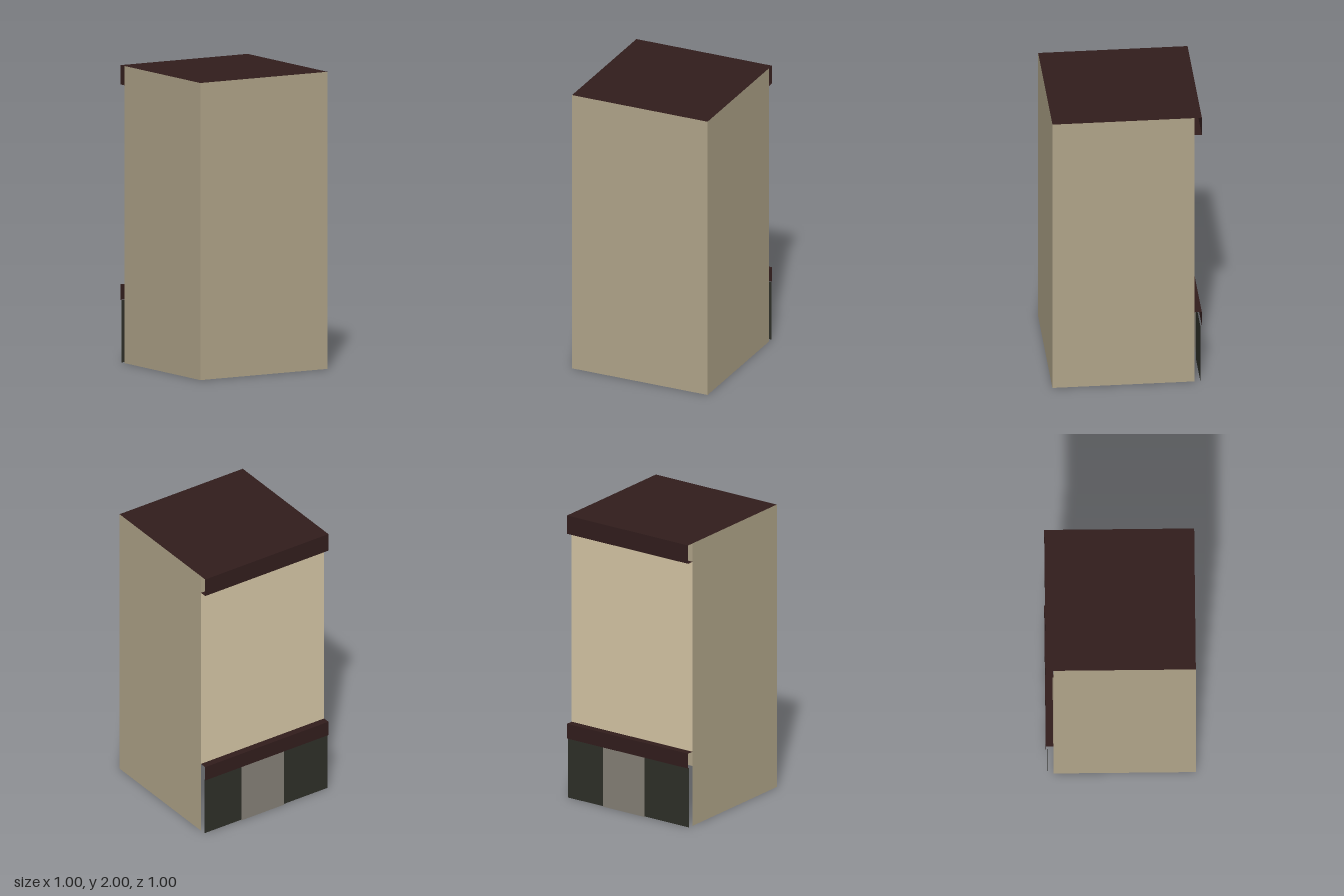
import * as THREE from 'three';

const mat = (name, color) =>
  new THREE.MeshStandardMaterial({ name, color, side: THREE.DoubleSide });

export function createModel() {
  const group = new THREE.Group();
  const stone = mat('stone', 0xafa388);
  const paleStone = mat('paleStone', 0xd4c5a4);
  const trim = mat('trim', 0x311d1c);
  const shopDark = mat('shopDark', 0x2e2f28);
  const doorGrey = mat('doorGrey', 0x847f76);

  const add = (name, w, h, material) => {
    const mesh = new THREE.Mesh(new THREE.PlaneGeometry(w, h), material);
    mesh.name = name;
    group.add(mesh);
    return mesh;
  };
  // Upright sheet facing the back, between two x and two y values
  const backSheet = (name, x0, x1, y0, y1, z, material) => {
    const mesh = add(name, x1 - x0, y1 - y0, material);
    mesh.rotation.y = Math.PI;
    mesh.position.set((x0 + x1) / 2, (y0 + y1) / 2, z);
  };
  // Level sheet facing up (or down), between two z values
  const levelSheet = (name, y, z0, z1, material, up = true) => {
    const mesh = add(name, 1, z1 - z0, material);
    mesh.rotation.x = up ? -Math.PI / 2 : Math.PI / 2;
    mesh.position.set(0, y, (z0 + z1) / 2);
  };

  // Open-bottomed tower walls
  add('frontWall', 1, 2, stone).position.set(0, 1, 0.5);
  for (const side of [1, -1]) {
    const wall = add(side > 0 ? 'leftWall' : 'rightWall', 0.95, 2, stone);
    wall.rotation.y = side * Math.PI / 2;
    wall.position.set(side * 0.5, 1, 0.025);
  }
  backSheet('backWall', -0.5, 0.5, 0.525, 1.87, -0.45, paleStone);

  // Roof with a cornice overhanging the back wall, open at the ends
  levelSheet('roof', 2, -0.5, 0.5, trim);
  backSheet('corniceFace', -0.5, 0.5, 1.87, 2, -0.5, trim);
  levelSheet('corniceUnderside', 1.87, -0.5, -0.45, trim, false);

  // Ledge above the ground floor
  levelSheet('ledgeTop', 0.525, -0.5, -0.45, trim);
  backSheet('ledgeFace', -0.5, 0.5, 0.42, 0.525, -0.5, trim);

  // Ground floor: two dark panels tucked behind the edges of a grey door
  backSheet('leftPanel', 0.19, 0.5, 0, 0.42, -0.49, shopDark);
  backSheet('rightPanel', -0.5, -0.125, 0, 0.42, -0.49, shopDark);
  backSheet('door', -0.139, 0.204, 0, 0.42, -0.498, doorGrey);

  return group;
}
